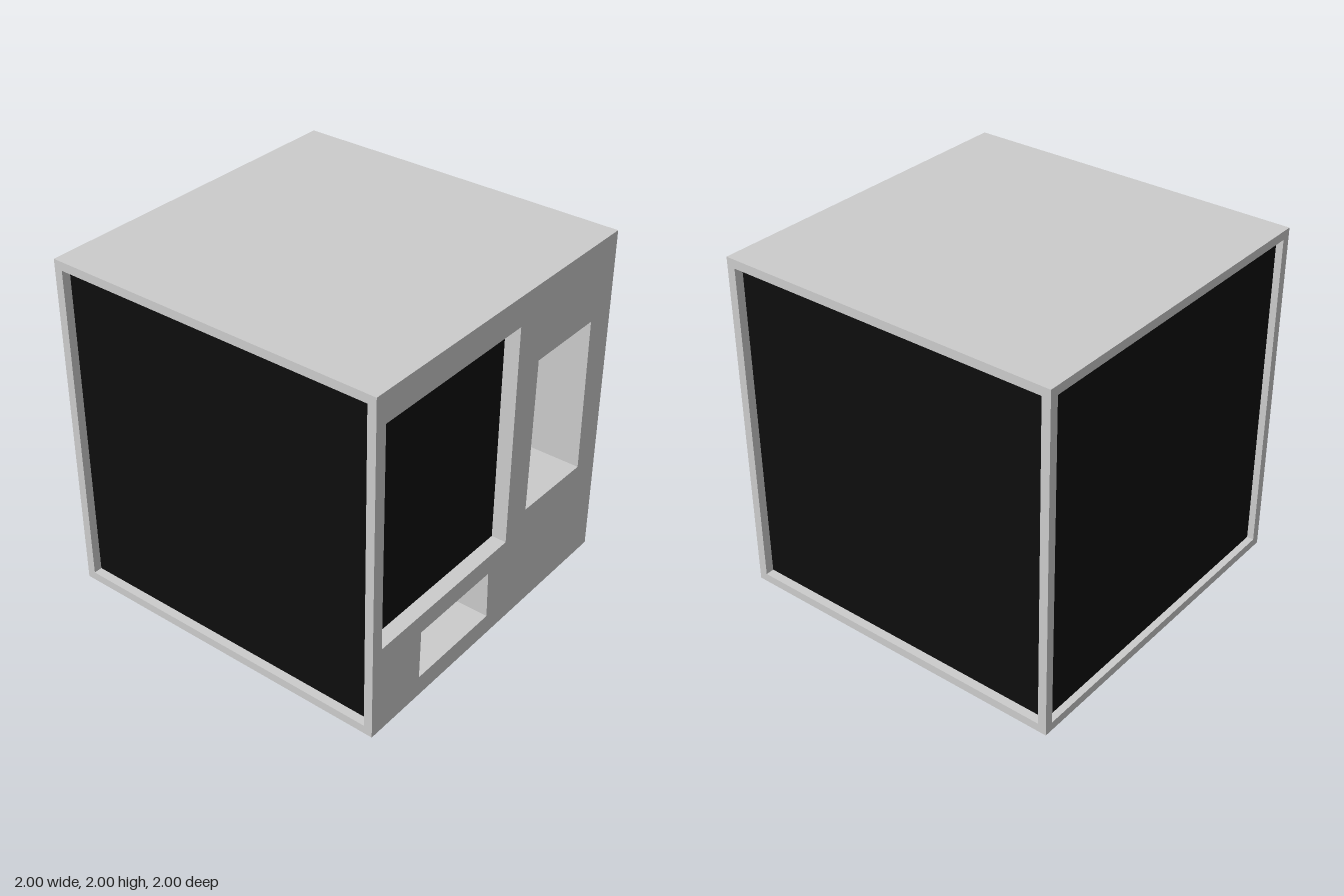
import * as THREE from 'three';

const WALL = 0.05;

export function createModel() {
  const group = new THREE.Group();
  const grey = new THREE.MeshStandardMaterial({ color: 0xcccccc });
  grey.name = 'light grey';
  const black = new THREE.MeshStandardMaterial({ color: 0x0d0d0d });
  black.name = 'black';

  const add = (name, geometry, material, x = 0, y = 0, z = 0) => {
    const mesh = new THREE.Mesh(geometry, material);
    mesh.name = name;
    mesh.position.set(x, y, z);
    group.add(mesh);
    return mesh;
  };

  // Roof and floor slabs
  const slab = new THREE.BoxGeometry(2, WALL, 2);
  add('roof', slab, grey, 0, 2 - WALL / 2, 0);
  add('floor', slab, grey, 0, WALL / 2, 0);

  // Corner posts on the side without a pierced wall
  const post = new THREE.BoxGeometry(WALL, 2 - 2 * WALL, WALL);
  for (const s of [1, -1]) add('cornerPost', post, grey, -1 + WALL / 2, 1, s * (1 - WALL / 2));

  // Dark recessed panels on the three open sides
  const panel = new THREE.BoxGeometry(1.9, 1.9, 0.008);
  add('frontPanel', panel, black, 0, 1, 0.946);
  add('backPanel', panel, black, 0, 1, -0.946);
  add('sidePanel', panel, black, -0.956, 1, 0).rotation.y = Math.PI / 2;

  // Openings in the pierced wall: corners as (-z, y), counter-clockwise from outside
  const openings = [
    { name: 'largeWindow', depth: 0.087, corners: [[-0.93, 0.53], [0.13, 0.53], [0.13, 1.83], [-0.93, 1.83]] },
    { name: 'tallNiche', depth: 0.35, corners: [[0.305, 0.64], [0.825, 0.627], [0.812, 1.55], [0.318, 1.553]] },
    { name: 'lowNiche', depth: 0.37, corners: [[-0.613, 0.12], [-0.01, 0.12], [-0.02, 0.415], [-0.607, 0.415]] },
  ];
  const toPoints = (corners) => corners.map(([u, y]) => new THREE.Vector2(u, y));

  // Pierced wall
  const wall = new THREE.Shape(toPoints([[-1, WALL], [1, WALL], [1, 2 - WALL], [-1, 2 - WALL]]));
  for (const o of openings) wall.holes.push(new THREE.Path(toPoints(o.corners)));
  const wallGeometry = new THREE.ExtrudeGeometry(wall, { depth: WALL, bevelEnabled: false });
  add('piercedWall', wallGeometry.rotateY(Math.PI / 2), grey, 1 - WALL);

  // Inner sides and dark back of each opening
  for (const { name, depth, corners } of openings) {
    const positions = [];
    const outer = 1 - WALL;
    const inner = 1 - depth;
    corners.forEach((a, i) => {
      const b = corners[(i + 1) % corners.length];
      const p = (x, c) => [x, c[1], -c[0]];
      positions.push(...p(outer, a), ...p(outer, b), ...p(inner, b));
      positions.push(...p(outer, a), ...p(inner, b), ...p(inner, a));
    });
    const sides = new THREE.BufferGeometry();
    sides.setAttribute('position', new THREE.Float32BufferAttribute(positions, 3));
    sides.computeVertexNormals();
    add(name + 'Sides', sides, grey);

    const back = new THREE.ShapeGeometry(new THREE.Shape(toPoints(corners)));
    add(name + 'Back', back.rotateY(Math.PI / 2), black, inner);
  }

  return group;
}
